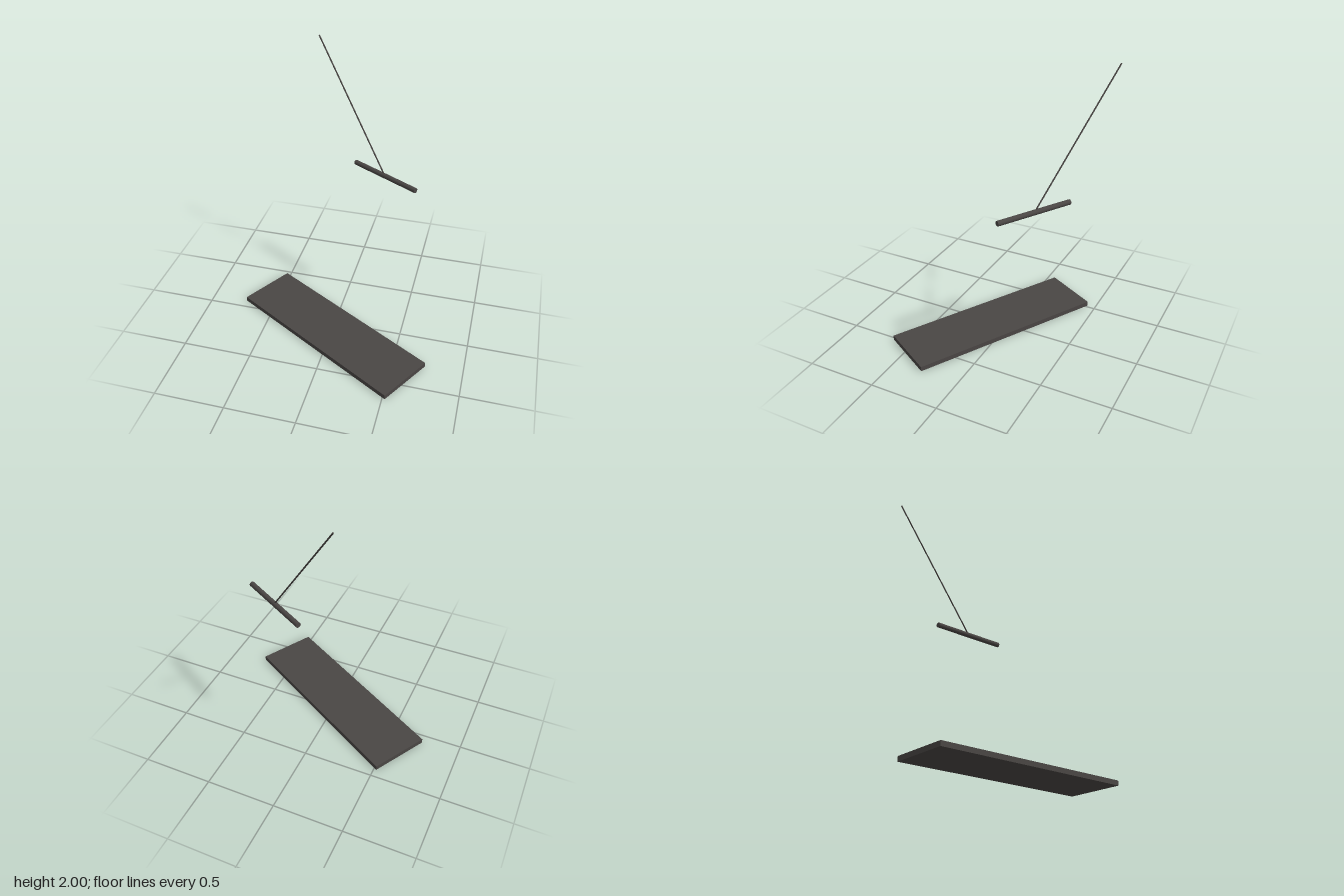
import * as THREE from 'three';

export function createModel() {
  const model = new THREE.Group();
  model.name = 'ropeBarAndBoard';
  const charcoal = new THREE.MeshStandardMaterial({ name: 'charcoal', color: 0x4a4644 });
  const yaw = -Math.PI / 6;

  const add = (name, geometry) => {
    const mesh = new THREE.Mesh(geometry, charcoal);
    mesh.name = name;
    model.add(mesh);
    return mesh;
  };

  // cylinder running between two points
  const rod = (name, a, b, radius, sides) => {
    const dir = b.clone().sub(a);
    const mesh = add(name, new THREE.CylinderGeometry(radius, radius, dir.length(), sides));
    mesh.position.copy(a).add(b).multiplyScalar(0.5);
    mesh.quaternion.setFromUnitVectors(new THREE.Vector3(0, 1, 0), dir.normalize());
    return mesh;
  };

  // flat board on the ground, turned with the bar
  const board = add('board', new THREE.BoxGeometry(1.445, 0.034, 0.428));
  board.position.set(0, 0.017, 0.107);
  board.rotation.y = yaw;

  // horizontal grip bar
  const centre = new THREE.Vector3(0.275, 1.14, -0.332);
  const half = new THREE.Vector3(0.279, 0, 0).applyAxisAngle(new THREE.Vector3(0, 1, 0), yaw);
  rod('gripBar', centre.clone().sub(half), centre.clone().add(half), 0.018, 16);

  // thin rope rising from the middle of the bar
  rod('rope', centre, new THREE.Vector3(-0.284, 1.997, -0.654), 0.005, 10);

  return model;
}
